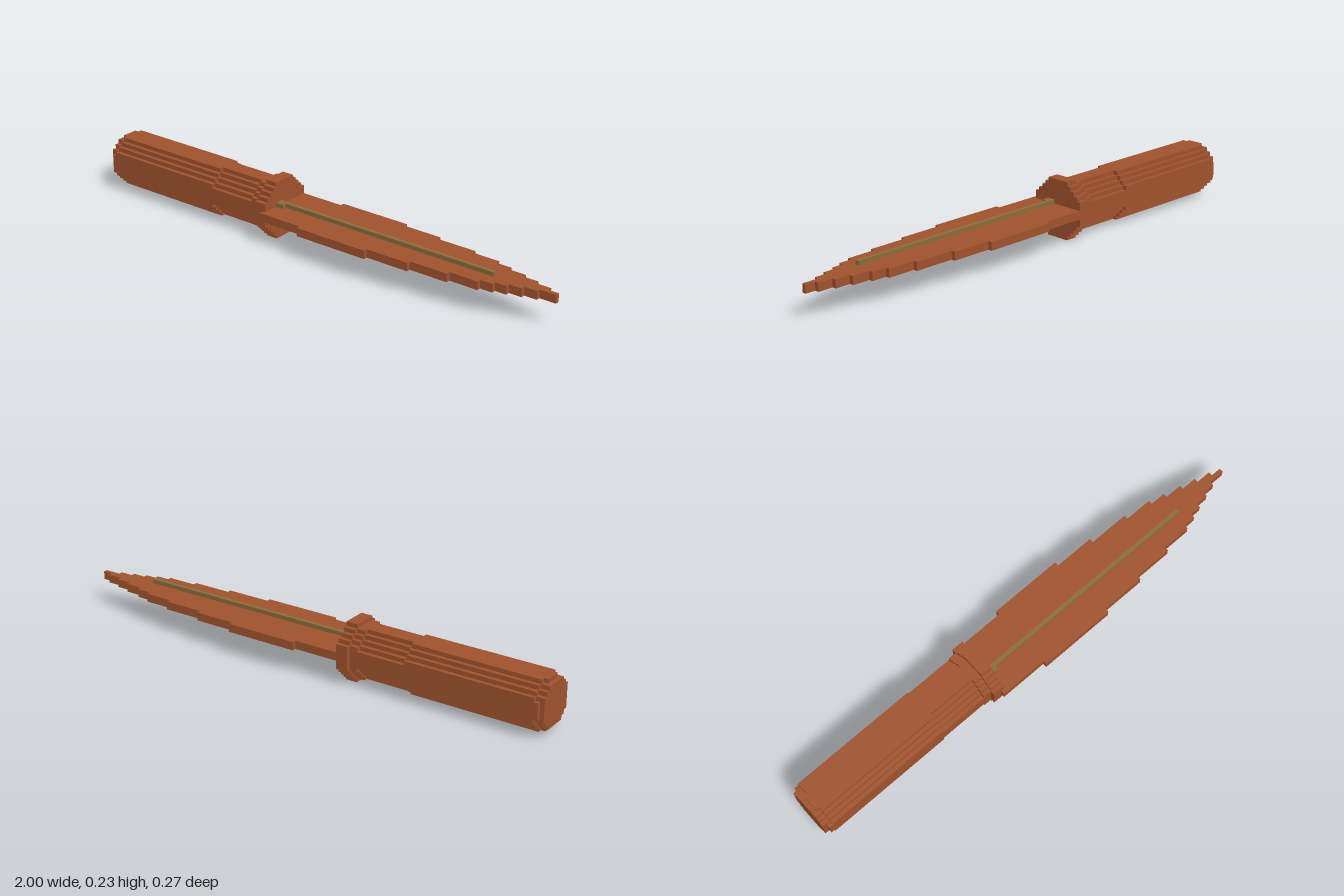
import * as THREE from 'three';

const U = 2 / 124; // one voxel
const CY = 7 * U, CZ = -0.5 * U; // axis of the handle

const mat = (name, color) => {
  const m = new THREE.MeshStandardMaterial({ color });
  m.name = name;
  return m;
};

// Outline of a round bar in voxel steps: size across, length of the flat sides
function steppedOutline(size, flat) {
  const h = size / 2, f = flat / 2, corner = [[h, f]];
  for (let i = 1; i <= h - f; i++) corner.push([h - i, f + i - 1], [h - i, f + i]);
  const pts = [];
  for (let q = 0; q < 4; q++) {
    for (const [a, b] of corner) {
      const [x, y] = [[a, b], [-b, a], [-a, -b], [b, -a]][q];
      pts.push(new THREE.Vector2(x * U, y * U));
    }
  }
  return new THREE.Shape(pts);
}

export function createModel() {
  const model = new THREE.Group();
  model.name = 'dagger';
  const sienna = mat('sienna', 0xa0522d);
  const olive = mat('olive brown', 0x8b6b3a);

  const add = (name, geo, material, parent = model) => {
    const mesh = new THREE.Mesh(geo, material);
    mesh.name = name;
    parent.add(mesh);
    return mesh;
  };

  // Stepped bar along x
  const bar = (name, size, flat, x0, x1, parent) => {
    const geo = new THREE.ExtrudeGeometry(steppedOutline(size, flat), { depth: x1 - x0, bevelEnabled: false });
    geo.rotateY(Math.PI / 2);
    geo.translate(x0, CY, CZ);
    return add(name, geo, sienna, parent);
  };

  // Handle: pommel, grip with a recessed band, guard
  const handle = new THREE.Group();
  handle.name = 'handle';
  model.add(handle);
  const at = (n) => -1 + n * U;
  bar('pommelCap', 10, 6, at(0), at(1), handle);
  bar('pommelRing', 12, 4, at(1), at(2), handle);
  bar('grip', 12, 6, at(2), at(33.5), handle);
  bar('gripRecess', 12, 4, at(33.5), at(45.5), handle);
  bar('gripCollar', 12, 6, at(45.5), at(47.5), handle);
  bar('guard', 14, 6, at(47.5), at(50.4), handle);

  // Blade outline: [end x, half width in voxels] for each edge
  const backEdge = [[-0.01, 7.5], [0.28, 8.5], [0.44, 7.5], [0.6, 6.5], [0.71, 5.5], [0.77, 4.5],
    [0.84, 3.5], [0.9, 2.5], [0.96, 1.5], [1, 0.5]];
  const frontEdge = [[-0.01, 7.5], [0.295, 8.5], [0.47, 7.5], [0.625, 6.5], [0.74, 5.5], [0.79, 4.5],
    [0.835, 3.5], [0.885, 2.5], [0.935, 1.5], [1, 0.5]];
  const steps = (edge, side) => {
    const pts = [];
    let x = -0.2;
    for (const [end, w] of edge) {
      pts.push(new THREE.Vector2(x, side * w * U), new THREE.Vector2(end, side * w * U));
      x = end;
    }
    return pts;
  };
  const outline = [...steps(frontEdge, -1), ...steps(backEdge, 1).reverse()];
  const blade = new THREE.ExtrudeGeometry(new THREE.Shape(outline), { depth: 2 * U, bevelEnabled: false });
  blade.rotateX(-Math.PI / 2);
  blade.translate(0, CY - U, 0);
  add('blade', blade, sienna);

  // Rib standing out on both faces of the blade, wider at its root
  const rib = (name, x0, x1, z) => {
    const geo = new THREE.BoxGeometry(x1 - x0, 4 * U, U);
    geo.translate((x0 + x1) / 2, CY, z * U);
    add(name, geo, olive);
  };
  rib('bladeRib', -0.2, 0.76, 1);
  rib('ribRoot', -0.2, -0.155, 2);

  return model;
}
